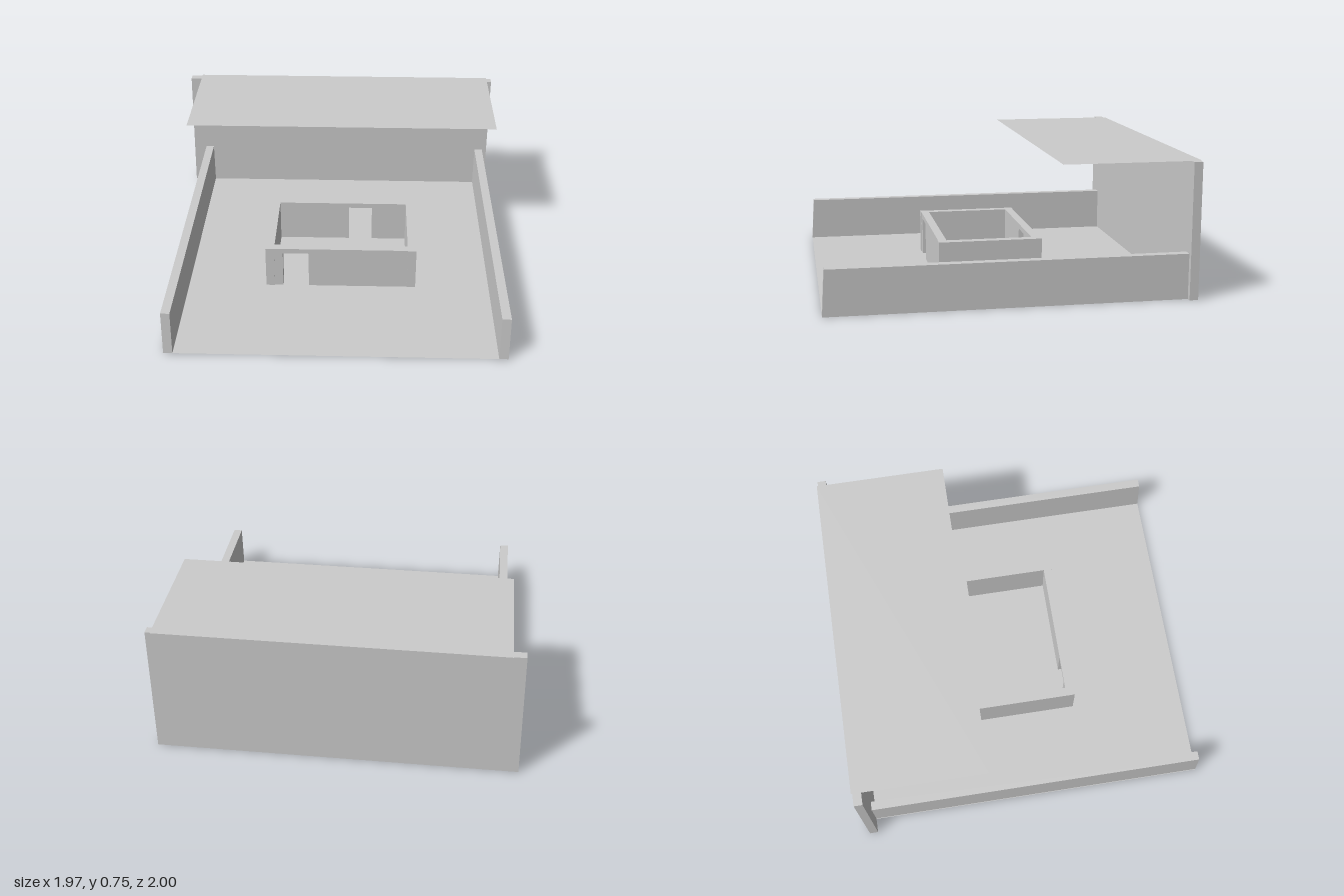
import * as THREE from 'three';

const material = new THREE.MeshStandardMaterial({ color: 0xcccccc, flatShading: true, side: THREE.DoubleSide });

export function createModel() {
  const model = new THREE.Group();
  model.name = 'courtyard';

  // Box given by its limits; adjust moves single corners
  function block(parent, name, [x0, x1], [y0, y1], [z0, z1], adjust) {
    const geometry = new THREE.BoxGeometry(x1 - x0, y1 - y0, z1 - z0);
    geometry.translate((x0 + x1) / 2, (y0 + y1) / 2, (z0 + z1) / 2);
    if (adjust) {
      const p = geometry.attributes.position;
      const v = new THREE.Vector3();
      for (let i = 0; i < p.count; i++) {
        v.fromBufferAttribute(p, i);
        adjust(v);
        p.setXYZ(i, v.x, v.y, v.z);
      }
      geometry.computeVertexNormals();
    }
    const mesh = new THREE.Mesh(geometry, material);
    mesh.name = name;
    parent.add(mesh);
  }

  // Paper-thin horizontal sheet
  function sheet(name, [x0, x1], y, [z0, z1]) {
    const geometry = new THREE.PlaneGeometry(x1 - x0, z1 - z0).rotateX(-Math.PI / 2);
    geometry.translate((x0 + x1) / 2, y, (z0 + z1) / 2);
    const mesh = new THREE.Mesh(geometry, material);
    mesh.name = name;
    model.add(mesh);
  }

  sheet('floor', [-0.908, 0.955], 0, [-0.99, 1]);
  sheet('roof', [-0.908, 0.955], 0.75, [-1, -0.25]);

  // Back wall, its right end leaning in slightly
  block(model, 'backWall', [-0.987, 0.983], [0, 0.748], [-0.993, -0.945], (v) => {
    if (v.x < 0 && v.y > 0.5) v.x += 0.012;
  });

  // Low side walls with sloping front ends
  const slopeFront = (v) => { if (v.z > 0 && v.y > 0.1) v.z -= 0.015; };
  block(model, 'rightSideWall', [-0.905, -0.855], [0, 0.25], [-0.945, 1], slopeFront);
  block(model, 'leftSideWall', [0.905, 0.955], [0, 0.25], [-0.945, 1], slopeFront);

  // Small central room without a ceiling
  const room = new THREE.Group();
  room.name = 'centralRoom';
  model.add(room);
  block(room, 'roomRightWall', [-0.4, -0.35], [0, 0.25], [-0.25, 0.335]);
  block(room, 'roomLeftWall', [0.425, 0.475], [0, 0.25], [-0.25, 0.335]);

  // Front and back room walls, each with a doorway below a thin lintel
  function doorWall(name, z, [d0, d1]) {
    const wall = new THREE.Group();
    wall.name = name;
    room.add(wall);
    block(wall, 'rightPart', [-0.35, d0], [0, 0.25], z);
    block(wall, 'leftPart', [d1, 0.425], [0, 0.25], z);
    block(wall, 'lintel', [d0, d1], [0.22, 0.25], z);
  }
  doorWall('roomFrontWall', [0.285, 0.332], [-0.3, -0.15]);
  doorWall('roomBackWall', [-0.247, -0.2], [0.075, 0.217]);

  return model;
}
